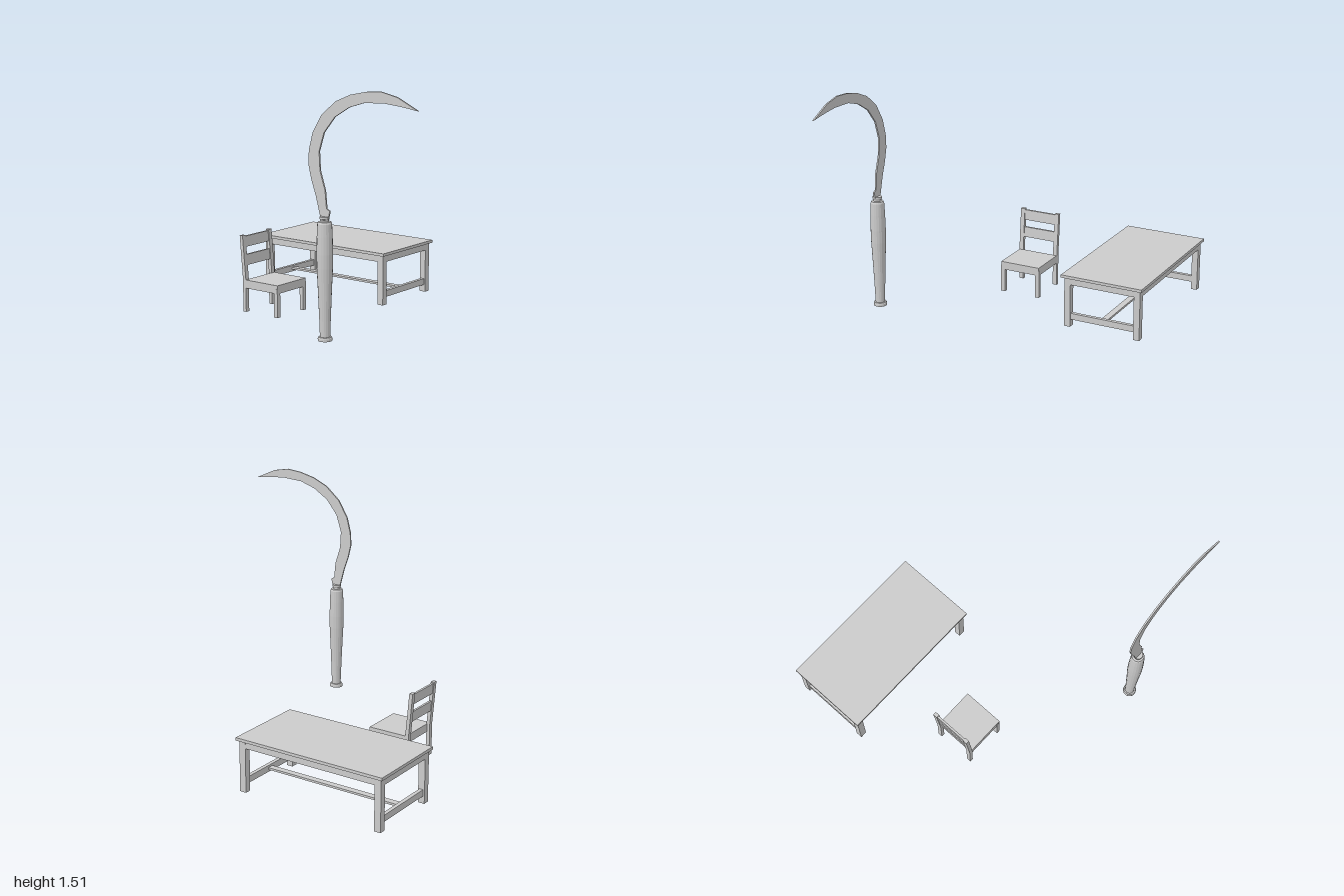
import * as THREE from 'three';

const material = new THREE.MeshStandardMaterial({ color: 0xcccccc, flatShading: true, side: THREE.DoubleSide });

// Box given by its min/max limits on each axis; lean shifts z backwards with height above leanFrom
function slab(parent, name, [x0, x1], [y0, y1], [z0, z1], lean = 0, leanFrom = 0) {
  const geo = new THREE.BoxGeometry(x1 - x0, y1 - y0, z1 - z0);
  geo.translate((x0 + x1) / 2, (y0 + y1) / 2, (z0 + z1) / 2);
  if (lean) {
    const p = geo.attributes.position;
    for (let i = 0; i < p.count; i++) p.setZ(i, p.getZ(i) - lean * (p.getY(i) - leanFrom));
    geo.computeVertexNormals();
  }
  const mesh = new THREE.Mesh(geo, material);
  mesh.name = name;
  parent.add(mesh);
  return mesh;
}

// Four rails forming a rectangular frame
function frame(parent, name, [x0, x1], y, [z0, z1], t) {
  slab(parent, name + 'Back', [x0, x1], y, [z0, z0 + t]);
  slab(parent, name + 'Front', [x0, x1], y, [z1 - t, z1]);
  slab(parent, name + 'Right', [x0, x0 + t], y, [z0 + t, z1 - t]);
  slab(parent, name + 'Left', [x1 - t, x1], y, [z0 + t, z1 - t]);
}

function createTable() {
  const table = new THREE.Group();
  table.name = 'table';
  slab(table, 'tableTop', [0.284, 0.815], [0.325, 0.343], [-1.0, -0.008]);
  frame(table, 'tableApron', [0.302, 0.799], [0.282, 0.325], [-0.986, -0.024], 0.03);
  // Legs and the stretcher at each end
  for (const z of [[-0.986, -0.944], [-0.066, -0.024]]) {
    for (const x of [[0.301, 0.341], [0.76, 0.8]]) slab(table, 'tableLeg', x, [0.007, 0.325], z);
    const mid = (z[0] + z[1]) / 2;
    slab(table, 'endStretcher', [0.341, 0.76], [0.053, 0.093], [mid - 0.012, mid + 0.012]);
  }
  slab(table, 'longStretcher', [0.53, 0.57], [0.067, 0.08], [-0.953, -0.057]);
  return table;
}

function createChair() {
  const chair = new THREE.Group();
  chair.name = 'chair';
  const lean = 0.084;
  slab(chair, 'seat', [-0.316, -0.047], [0.18, 0.202], [-0.62, -0.362]);
  frame(chair, 'seatApron', [-0.316, -0.047], [0.15, 0.18], [-0.62, -0.362], 0.02);
  for (const x of [[-0.318, -0.29], [-0.073, -0.045]]) {
    slab(chair, 'frontLeg', x, [0, 0.18], [-0.388, -0.362]);
    slab(chair, 'backLeg', x, [0, 0.202], [-0.638, -0.615]);
    slab(chair, 'backPost', x, [0.202, 0.478], [-0.638, -0.615], lean, 0.202);
  }
  for (const y of [[0.29, 0.356], [0.404, 0.47]]) {
    slab(chair, 'backRail', [-0.29, -0.073], y, [-0.634, -0.62], lean, 0.202);
  }
  return chair;
}

function createSickle() {
  const sickle = new THREE.Group();
  sickle.name = 'sickle';
  sickle.position.set(-0.768, 0, 0.371);

  // Turned handle with a foot flange and a collar
  const profile = [
    [0, 0.085], [0.041, 0.085], [0.041, 0.1], [0.037, 0.107], [0.029, 0.108],
    [0.032, 0.2], [0.038, 0.35], [0.045, 0.5], [0.046, 0.58], [0.044, 0.68],
    [0.041, 0.75], [0.036, 0.761], [0.024, 0.763], [0.024, 0.772], [0.028, 0.778], [0.028, 0.79], [0, 0.79],
  ].map(([r, y]) => new THREE.Vector2(r, y));
  const handle = new THREE.Mesh(new THREE.LatheGeometry(profile, 18), material);
  handle.name = 'handle';
  sickle.add(handle);

  // Curved blade: outer edge up to the tip, inner edge back down, as [z, y]
  const outline = [
    [0.345, 0.78], [0.313, 0.9], [0.281, 0.99], [0.262, 1.07], [0.265, 1.15], [0.292, 1.25],
    [0.356, 1.354], [0.453, 1.434], [0.554, 1.477], [0.661, 1.5], [0.758, 1.507], [0.865, 1.485], [1.0, 1.422],
    [0.89, 1.437], [0.785, 1.446], [0.65, 1.44], [0.544, 1.407], [0.447, 1.348], [0.372, 1.257],
    [0.337, 1.15], [0.343, 1.043], [0.378, 0.936], [0.388, 0.835], [0.41, 0.824], [0.4, 0.78],
  ].map(([z, y]) => new THREE.Vector2(z - 0.371, y));
  const thickness = 0.01;
  const geo = new THREE.ExtrudeGeometry(new THREE.Shape(outline), { depth: thickness, bevelEnabled: false });
  geo.translate(0, 0, -thickness / 2).rotateY(-Math.PI / 2);
  const blade = new THREE.Mesh(geo, material);
  blade.name = 'blade';
  sickle.add(blade);
  return sickle;
}

export function createModel() {
  const model = new THREE.Group();
  model.name = 'furnitureAndSickle';
  model.add(createTable(), createChair(), createSickle());
  return model;
}
